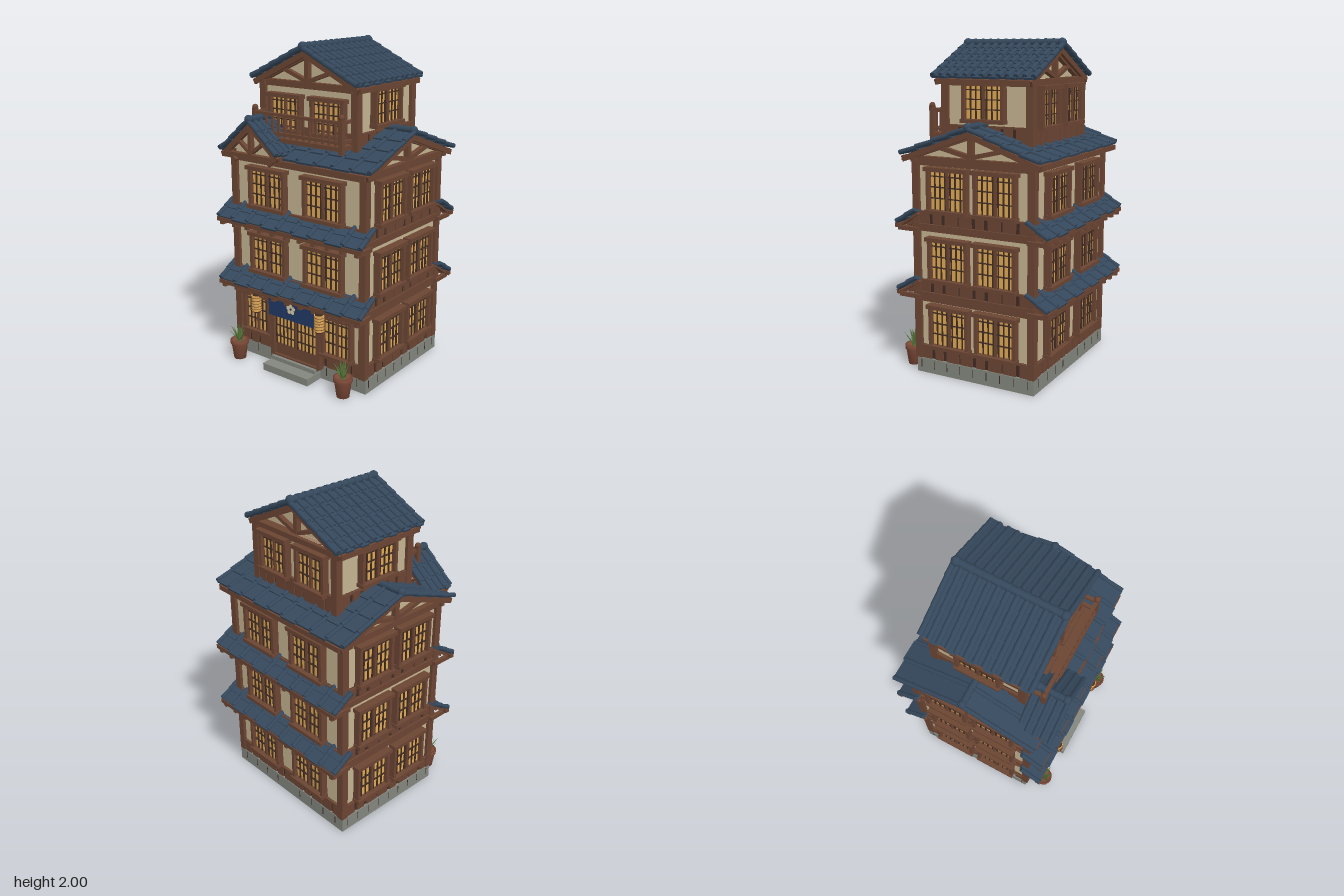
import * as THREE from 'three';
import { mergeGeometries } from 'three/addons/utils/BufferGeometryUtils.js';

const paint = (name, color, opts = {}) => Object.assign(new THREE.MeshStandardMaterial({ color, ...opts }), { name });
const M = {
  plaster: paint('plaster', 0xc4b491), wood: paint('wood', 0x6b4533), dark: paint('dark wood', 0x402c22),
  tile: paint('roof tile', 0x35485c), glow: paint('lit paper', 0xdfa956), stone: paint('stone', 0x83867e),
  cloth: paint('indigo cloth', 0x223a66), clay: paint('terracotta', 0x7d4a38),
  leaf: paint('leaf', 0x56753a, { side: THREE.DoubleSide }), cream: paint('cream', 0xd8cba8),
};
const CZ = -0.02; // centre of the main body in z

function group(parent, name, x = 0, y = 0, z = 0, ry = 0) {
  const g = new THREE.Group();
  g.name = name;
  g.position.set(x, y, z);
  g.rotation.set(0, ry, 0, 'YXZ');
  parent.add(g);
  return g;
}
function mesh(g, name, geo, mat, x = 0, y = 0, z = 0) {
  const m = new THREE.Mesh(geo, mat);
  m.name = name;
  m.position.set(x, y, z);
  g.add(m);
  return m;
}
const box = (g, name, mat, w, h, d, x, y, z) => mesh(g, name, new THREE.BoxGeometry(w, h, d), mat, x, y, z);
// Box given by its bottom and top heights
const slab = (g, name, mat, w, d, y0, y1, x, z) => box(g, name, mat, w, y1 - y0, d, x, (y0 + y1) / 2, z);
// Bar between two points in the xy plane
function strut(g, name, x1, y1, x2, y2, z, t, d) {
  const m = box(g, name, M.wood, Math.hypot(x2 - x1, y2 - y1), t, d, (x1 + x2) / 2, (y1 + y2) / 2, z);
  m.rotation.z = Math.atan2(y2 - y1, x2 - x1);
}

// Sloping field of overlapping tiles: x across, z down the slope
function tilePanel(g, width, len, cols, rows, rib) {
  const parts = [], pitch = width / cols, row = len / rows;
  for (let r = 0; r < rows; r++) {
    const z = (r + 0.5) * row;
    for (let c = 0; c <= cols; c++) {
      const x = -width / 2 + c * pitch, off = c % 2 ? 0.01 : 0;
      if (c < cols) parts.push(new THREE.BoxGeometry(pitch, 0.013, row * 1.12).rotateX(-0.07).translate(x + pitch / 2, off * 0.3, z + off));
      parts.push(new THREE.CylinderGeometry(rib * 1.12, rib, row * 1.05, 8).rotateX(Math.PI / 2 - 0.05).translate(x, 0.008, z));
    }
  }
  mesh(g, 'tiles', mergeGeometries(parts), M.tile);
  box(g, 'deck', M.wood, width - 0.02, 0.012, len - 0.01, 0, -0.02, len / 2);
  const n = Math.round(width / 0.1);
  for (let i = 0; i < n; i++) box(g, 'rafter', M.wood, 0.022, 0.022, len - 0.02, (i + 0.5 - n / 2) * (width - 0.04) / n, -0.035, len / 2);
}

// Gabled roof with its ridge along z
function gableRoof(parent, name, o) {
  const g = group(parent, name, o.x || 0, 0, o.z, o.ry || 0);
  const rise = o.ridge - o.eave, a = Math.atan2(rise, o.half), len = Math.hypot(rise, o.half);
  for (const s of [-1, 1]) {
    const p = group(g, 'roof slope', 0, o.ridge, 0, s * Math.PI / 2);
    p.rotation.x = a;
    tilePanel(p, o.length, len, o.cols, o.rows, o.rib);
    box(g, 'fascia', M.wood, 0.016, 0.03, o.length - 0.05, s * (o.half + 0.004), o.eave - 0.025, 0);
    // Gable end: plaster triangle, truss and barge boards
    const e = group(g, 'gable', 0, 0, 0, s > 0 ? 0 : Math.PI);
    const zw = o.length / 2 - o.inset, b = o.eave - 0.03, top = o.ridge - 0.035, h = o.half * 0.93;
    const tri = new THREE.Shape([[-h, b], [h, b], [0, top]].map(q => new THREE.Vector2(...q)));
    mesh(e, 'gable wall', new THREE.ExtrudeGeometry(tri, { depth: 0.02, bevelEnabled: false }), M.plaster, 0, 0, zw - 0.02);
    const zt = zw + 0.015, t = o.beam;
    box(e, 'tie beam', M.wood, h * 1.9, t, 0.04, 0, b + t / 2 - 0.01, zt);
    box(e, 'king post', M.wood, t, top - b, 0.035, 0, (top + b) / 2, zt);
    for (const k of [-1, 1]) {
      strut(e, 'brace', k * 0.01, b + t, k * h * 0.48, b + rise * 0.47, zt, t * 0.8, 0.03);
      strut(e, 'rafter', 0, top - 0.005, k * h, b + 0.01, zt, t, 0.03);
      strut(e, 'barge board', 0, o.ridge - 0.03, k * o.half, o.eave - 0.03, o.length / 2 - 0.02, 0.032, 0.02);
      box(e, 'purlin end', M.wood, 0.03, 0.035, o.inset, k * h * 0.9, b + 0.005, zw + o.inset / 2 - 0.015);
    }
    mesh(e, 'ridge end', new THREE.SphereGeometry(o.cap * 1.3, 12, 8), M.tile, 0, o.ridge + 0.012, o.length / 2 - 0.01);
  }
  const ridge = [new THREE.CylinderGeometry(o.cap, o.cap, o.length, 10).rotateX(Math.PI / 2)];
  const n = Math.round(o.length / 0.055);
  for (let i = 0; i <= n; i += 1) ridge.push(new THREE.CylinderGeometry(o.cap * 1.14, o.cap * 1.14, 0.015, 10).rotateX(Math.PI / 2).translate(0, 0, (i / n - 0.5) * (o.length - 0.02)));
  mesh(g, 'ridge', mergeGeometries(ridge), M.tile, 0, o.ridge + 0.012, 0);
  return g;
}

// Lattice window facing +z, standing on its origin
function latticeWindow(parent, x, y, z, ry, w, h, name = 'window') {
  const g = group(parent, name, x, y, z, ry);
  box(g, 'paper pane', M.glow, w - 0.03, h - 0.03, 0.02, 0, h / 2, 0.005);
  for (const s of [-1, 1]) box(g, 'jamb', M.wood, 0.02, h, 0.045, s * (w / 2 - 0.01), h / 2, 0.02);
  box(g, 'head', M.wood, w + 0.02, 0.024, 0.055, 0, h - 0.012, 0.027);
  box(g, 'sill', M.wood, w + 0.01, 0.022, 0.055, 0, 0.011, 0.027);
  box(g, 'meeting stile', M.wood, 0.014, h - 0.04, 0.02, 0, h / 2, 0.02);
  const n = Math.round(w / 0.039);
  for (let i = 1; i < n; i++) box(g, 'mullion', M.dark, 0.006, h - 0.04, 0.012, (i / n - 0.5) * (w - 0.03), h / 2, 0.018);
  for (const f of [0.33, 0.57, 0.8]) box(g, 'glazing bar', M.dark, w - 0.04, 0.006, 0.012, 0, h * f, 0.018);
}

// Plaster box with corner posts, belt beam and boarded skirt
function storey(parent, name, hx, hz, cz, y0, skirt, beam, y1) {
  const g = group(parent, name, 0, 0, cz);
  slab(g, 'walls', M.plaster, hx * 2, hz * 2, y0, y1, 0, 0);
  slab(g, 'belt beam', M.wood, hx * 2 + 0.03, hz * 2 + 0.03, beam, y1, 0, 0);
  slab(g, 'belt moulding', M.wood, hx * 2 + 0.045, hz * 2 + 0.045, y1 - 0.018, y1, 0, 0);
  slab(g, 'skirt backing', M.dark, hx * 2 + 0.01, hz * 2 + 0.01, y0, skirt, 0, 0);
  for (const sx of [-1, 1]) for (const sz of [-1, 1]) slab(g, 'corner post', M.wood, 0.045, 0.045, y0, y1, sx * (hx - 0.002), sz * (hz - 0.002));
  for (let k = 0; k < 4; k++) {
    const side = group(g, 'skirt', 0, 0, 0, k * Math.PI / 2), half = k % 2 ? hz : hx, out = k % 2 ? hx : hz;
    const n = Math.round(half * 2 / 0.09);
    for (let i = 0; i < n; i++) slab(side, 'skirt board', M.wood, i % 3 === 1 ? 0.055 : 0.083, 0.022, y0, skirt, (i + 0.5 - n / 2) * half * 2 / n, out + 0.003);
    slab(side, 'skirt rail', M.wood, half * 2, 0.03, skirt - 0.012, skirt, 0, out + 0.003);
  }
  return g;
}

// Narrow tiled eave with beam and rafters, at front and back
function pentRoofs(parent, y) {
  for (const ry of [0, Math.PI]) {
    const g = group(parent, 'pent roof', 0, y, CZ, ry);
    const p = group(g, 'pent slope', 0, 0.085, 0.362);
    p.rotation.x = 0.56;
    tilePanel(p, 1.07, 0.155, 9, 2, 0.014);
    box(g, 'eave beam', M.wood, 1.09, 0.025, 0.03, 0, -0.012, 0.49);
    for (let i = -5; i <= 5; i++) box(g, 'eave rafter', M.wood, 0.025, 0.025, 0.14, i * 0.102, -0.032, 0.43);
  }
}

function entrance(root) {
  const g = group(root, 'entrance', 0, 0, 0.365);
  for (const s of [-1, 1]) {
    slab(g, 'door post', M.wood, 0.03, 0.05, 0.07, 0.5, s * 0.18, 0.015);
    slab(g, 'door panel', M.wood, 0.16, 0.025, 0.07, 0.15, s * 0.082, 0.012);
    slab(g, 'door paper', M.glow, 0.16, 0.02, 0.15, 0.48, s * 0.082, 0.008);
    for (let i = 0; i <= 5; i++) slab(g, 'door mullion', M.dark, 0.006, 0.012, 0.15, 0.48, s * (0.012 + i * 0.029), 0.02);
    for (const y of [0.2, 0.27, 0.34]) box(g, 'door bar', M.dark, 0.15, 0.006, 0.012, s * 0.082, y, 0.02);
    // Paper lantern
    const l = group(root, 'lantern', s * 0.245, 0.42, 0.47);
    mesh(l, 'lantern body', new THREE.CylinderGeometry(0.031, 0.031, 0.1, 14), M.glow);
    for (let i = -2; i <= 2; i++) mesh(l, 'lantern rib', new THREE.TorusGeometry(0.031, 0.002, 4, 14).rotateX(Math.PI / 2), M.wood, 0, i * 0.018, 0);
    for (const y of [-0.053, 0.053]) mesh(l, 'lantern cap', new THREE.CylinderGeometry(0.025, 0.025, 0.012, 12), M.dark, 0, y, 0);
  }
  slab(g, 'door meeting stile', M.wood, 0.016, 0.03, 0.07, 0.48, 0, 0.014);
  slab(g, 'threshold', M.wood, 0.36, 0.05, 0.06, 0.08, 0, 0.015);
  // Split curtain with a simple flower
  for (const s of [-1, 0, 1]) box(g, 'door curtain', M.cloth, 0.116, 0.14, 0.008, s * 0.119, 0.42, 0.065);
  mesh(g, 'curtain rod', new THREE.CylinderGeometry(0.008, 0.008, 0.4, 8).rotateZ(Math.PI / 2), M.wood, 0, 0.488, 0.065);
  for (let i = 0; i < 5; i++) {
    const a = Math.PI / 2 + i * Math.PI * 0.4;
    mesh(g, 'flower petal', new THREE.CircleGeometry(0.014, 12), M.cream, Math.cos(a) * 0.021, 0.425 + Math.sin(a) * 0.021, 0.071);
  }
  slab(root, 'upper step', M.stone, 0.34, 0.07, 0, 0.07, 0, 0.39);
  slab(root, 'lower step', M.stone, 0.35, 0.14, 0, 0.045, 0, 0.43);
}

function plant(root, x) {
  const g = group(root, 'potted plant', x, 0, 0.46);
  const profile = [[0, 0], [0.038, 0], [0.052, 0.1], [0.058, 0.1], [0.058, 0.125], [0.046, 0.125], [0.044, 0.11], [0, 0.11]];
  mesh(g, 'pot', new THREE.LatheGeometry(profile.map(p => new THREE.Vector2(...p)), 16), M.clay);
  for (let i = 0; i < 14; i++) {
    const geo = new THREE.ConeGeometry(0.014, 0.11, 4).scale(1, 1, 0.35).translate(0, 0.055, 0).rotateX(0.12 + (i % 3) * 0.26).rotateY(i * 2.4);
    mesh(g, 'leaf', geo, M.leaf, 0, 0.112, 0);
  }
}

function balcony(root) {
  const g = group(root, 'balcony');
  box(g, 'balcony floor', M.wood, 0.65, 0.025, 0.14, 0, 1.43, 0.3);
  for (const y of [1.465, 1.575]) {
    box(g, 'front rail', M.wood, 0.64, 0.018, 0.022, 0, y, 0.355);
    for (const s of [-1, 1]) box(g, 'side rail', M.wood, 0.02, 0.018, 0.12, s * 0.315, y, 0.3);
  }
  for (const s of [-1, 1]) {
    slab(g, 'newel post', M.wood, 0.028, 0.028, 1.4, 1.6, s * 0.318, 0.355);
    mesh(g, 'newel knob', new THREE.SphereGeometry(0.018, 10, 8), M.wood, s * 0.318, 1.605, 0.355);
  }
  for (let i = -6; i <= 6; i++) slab(g, 'baluster', M.wood, 0.012, 0.012, 1.44, 1.575, i * 0.046, 0.355);
}

export function createModel() {
  const root = new THREE.Group();
  root.name = 'townhouse';
  // Stone footing with dark joints
  slab(root, 'footing', M.stone, 1.01, 0.79, 0, 0.09, 0, CZ - 0.005);
  for (let i = -4; i <= 4; i++) {
    if (i) slab(root, 'footing joint', M.dark, 0.004, 0.794, 0.03, 0.08, i * 0.11, CZ - 0.005);
    slab(root, 'footing joint', M.dark, 1.014, 0.004, 0.03, 0.08, 0, CZ + i * 0.09);
  }
  // Three main floors with windows on all sides
  const floors = [[0.09, 0.175, 0.45, 0.51], [0.51, 0.585, 0.88, 0.925], [0.925, 1.0, 1.27, 1.32]];
  floors.forEach(([y0, skirt, beam, y1], f) => {
    const g = storey(root, 'floor ' + (f + 1), 0.485, 0.382, CZ, y0, skirt, beam, y1);
    for (const s of [-1, 1]) {
      if (f) latticeWindow(g, s * 0.21, skirt - 0.005, 0.382, 0, 0.28, 0.262);
      else latticeWindow(g, s * 0.31, skirt - 0.005, 0.382, 0, 0.22, 0.275);
      latticeWindow(g, s * 0.21, skirt - 0.005, -0.382, Math.PI, 0.28, 0.268);
      for (const t of [-1, 1]) latticeWindow(g, s * 0.485, skirt - 0.005, t * 0.157, s * Math.PI / 2, 0.27, 0.272);
    }
  });
  pentRoofs(root, 0.51);
  pentRoofs(root, 0.92);
  entrance(root);
  for (const s of [-1, 1]) plant(root, s * 0.41);
  // Main roof, ridge running left to right
  gableRoof(root, 'main roof', { z: CZ - 0.003, ry: Math.PI / 2, half: 0.445, length: 1.11, eave: 1.335, ridge: 1.495, cols: 9, rows: 4, rib: 0.013, inset: 0.065, beam: 0.032, cap: 0.019 });
  // Top floor with balcony and roof
  const top = storey(root, 'top floor', 0.34, 0.28, -0.035, 1.36, 1.5, 1.725, 1.765);
  for (const s of [-1, 1]) {
    latticeWindow(top, s * 0.157, 1.46, 0.28, 0, 0.24, 0.23);
    latticeWindow(top, s * 0.157, 1.48, -0.28, Math.PI, 0.24, 0.25);
    latticeWindow(top, s * 0.34, 1.515, 0.013, s * Math.PI / 2, 0.275, 0.235);
  }
  balcony(root);
  gableRoof(root, 'top roof', { z: -0.022, half: 0.38, length: 0.655, eave: 1.772, ridge: 1.955, cols: 12, rows: 5, rib: 0.016, inset: 0.07, beam: 0.028, cap: 0.022 });
  // Dormer over the front eave
  const dx = -0.265;
  gableRoof(root, 'dormer roof', { x: dx, z: 0.385, half: 0.205, length: 0.19, eave: 1.362, ridge: 1.54, cols: 4, rows: 3, rib: 0.013, inset: 0.04, beam: 0.022, cap: 0.02 });
  const d = group(root, 'dormer', dx);
  slab(d, 'dormer wall', M.plaster, 0.3, 0.15, 1.31, 1.36, 0, 0.355);
  for (const s of [-1, 1]) {
    slab(d, 'dormer post', M.wood, 0.022, 0.022, 1.29, 1.36, s * 0.145, 0.435);
    strut(d, 'dormer bracket', s * 0.13, 1.29, s * 0.19, 1.345, 0.45, 0.018, 0.02);
  }
  return root;
}
